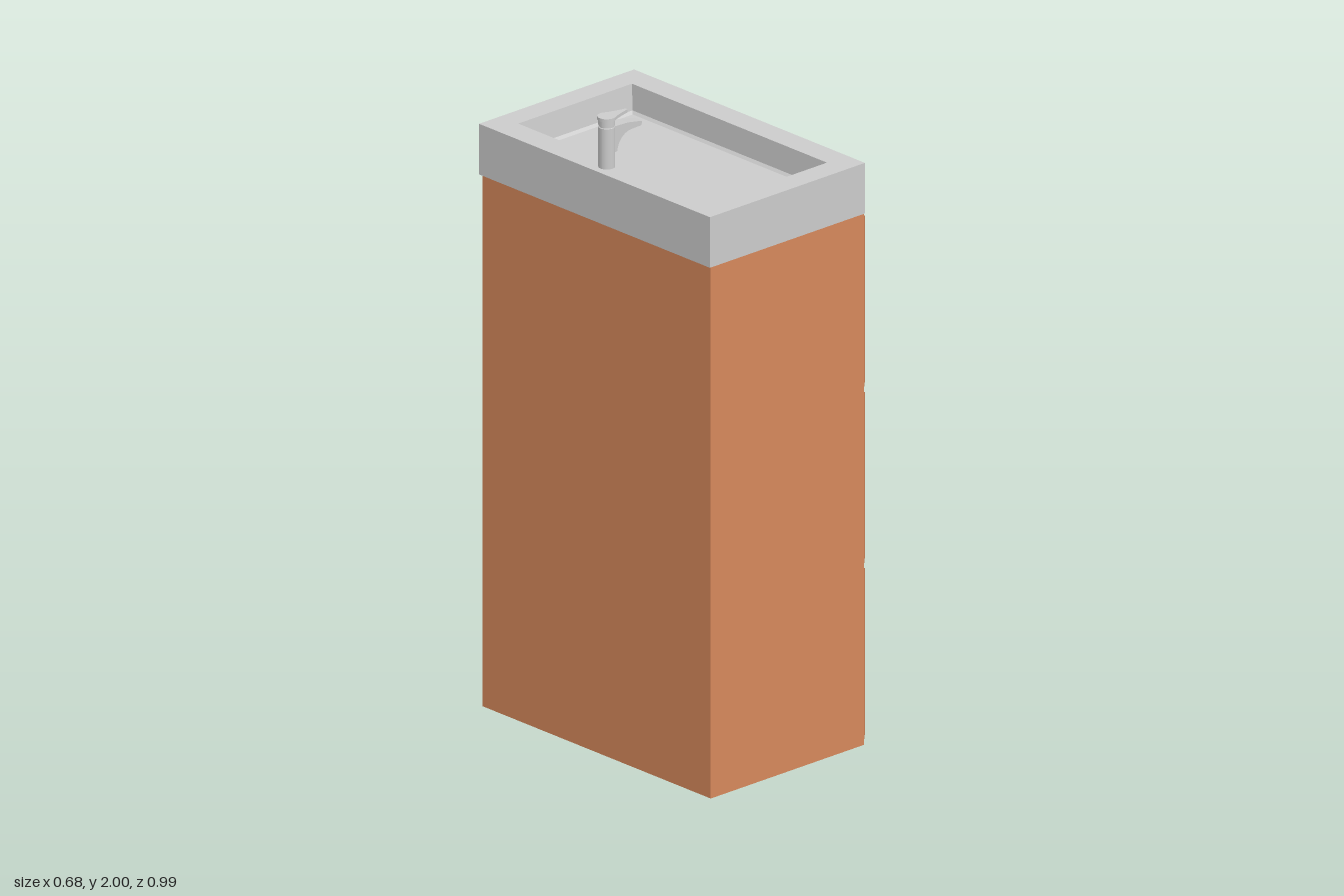
import * as THREE from 'three';

const wood = new THREE.MeshStandardMaterial({ color: 0xd6885c, flatShading: true });
const grey = new THREE.MeshStandardMaterial({ color: 0xcccccc, flatShading: true });
const metal = new THREE.MeshStandardMaterial({ color: 0xcccccc });

function add(parent, name, geometry, material, x = 0, y = 0, z = 0) {
  const mesh = new THREE.Mesh(geometry, material);
  mesh.name = name;
  mesh.position.set(x, y, z);
  parent.add(mesh);
  return mesh;
}

// Closed solid through a stack of rectangles [x0, x1, z0, z1, y]
function rectLoft(rings) {
  const pos = [], idx = [];
  for (const [x0, x1, z0, z1, y] of rings) pos.push(x0, y, z0, x0, y, z1, x1, y, z1, x1, y, z0);
  for (let r = 0; r < rings.length - 1; r++) {
    for (let i = 0; i < 4; i++) {
      const a = r * 4 + i, b = r * 4 + (i + 1) % 4;
      idx.push(a, b, b + 4, a, b + 4, a + 4);
    }
  }
  const t = (rings.length - 1) * 4;
  idx.push(0, 2, 1, 0, 3, 2, t, t + 1, t + 2, t, t + 2, t + 3);
  const g = new THREE.BufferGeometry();
  g.setAttribute('position', new THREE.Float32BufferAttribute(pos, 3));
  g.setIndex(idx);
  const flat = g.toNonIndexed();
  flat.computeVertexNormals();
  return flat;
}

// Drawer front: a slab whose outer face is chamfered on all sides
function drawerFront(height, width) {
  const g = new THREE.BoxGeometry(0.018, height, width);
  const p = g.attributes.position;
  for (let i = 0; i < p.count; i++) {
    if (p.getX(i) > 0) {
      p.setY(i, p.getY(i) - Math.sign(p.getY(i)) * 0.01);
      p.setZ(i, p.getZ(i) - Math.sign(p.getZ(i)) * 0.016);
    }
  }
  g.computeVertexNormals();
  return g;
}

function makeHandle() {
  const handle = new THREE.Group();
  handle.name = 'handle';
  add(handle, 'handleBar', new THREE.CylinderGeometry(0.016, 0.016, 0.393, 20).rotateX(Math.PI / 2), metal, 0.324, 0, -0.001);
  for (const z of [-0.15, 0.128]) {
    add(handle, 'handlePost', new THREE.CylinderGeometry(0.01, 0.01, 0.03, 14).rotateZ(Math.PI / 2), metal, 0.309, 0, z);
  }
  return handle;
}

function makeFaucet() {
  const faucet = new THREE.Group();
  faucet.name = 'faucet';
  const cx = -0.292;
  // Upright body with a seam under the cap
  const profile = [[0, 0], [0.025, 0], [0.025, 0.127], [0.022, 0.128], [0.022, 0.132], [0.025, 0.133], [0.025, 0.152], [0, 0.152]];
  add(faucet, 'faucetBody', new THREE.LatheGeometry(profile.map(p => new THREE.Vector2(...p)), 28), grey, cx, 1.84, 0);

  // Spout: side profile extruded, narrowing toward the tip
  const s = new THREE.Shape();
  s.moveTo(-0.285, 1.888);
  s.lineTo(-0.27, 1.888);
  s.quadraticCurveTo(-0.262, 1.935, -0.215, 1.941);
  s.lineTo(-0.168, 1.941);
  s.lineTo(-0.165, 1.954);
  s.lineTo(-0.225, 1.966);
  s.lineTo(-0.285, 1.97);
  s.closePath();
  const spout = new THREE.ExtrudeGeometry(s, { depth: 2, bevelEnabled: false, curveSegments: 8 }).translate(0, 0, -1);
  const p = spout.attributes.position;
  for (let i = 0; i < p.count; i++) {
    const t = (p.getX(i) + 0.285) / 0.12;
    p.setZ(i, p.getZ(i) * (0.022 - 0.006 * t));
  }
  spout.computeVertexNormals();
  add(faucet, 'faucetSpout', spout, grey);

  // Teardrop lever on top
  const l = new THREE.Shape();
  l.absarc(0, 0, 0.028, 0.9, Math.PI * 2 - 0.9, false);
  l.quadraticCurveTo(0.04, -0.013, 0.08, -0.004);
  l.lineTo(0.08, 0.004);
  l.quadraticCurveTo(0.04, 0.013, 0.028 * Math.cos(0.9), 0.028 * Math.sin(0.9));
  const lever = new THREE.ExtrudeGeometry(l, { depth: 0.01, bevelEnabled: false, curveSegments: 16 }).rotateX(-Math.PI / 2);
  add(faucet, 'faucetLever', lever, grey, cx, 1.99, 0);
  return faucet;
}

// Drain: slotted grate above a dished base
function makeDrain() {
  const drain = new THREE.Group();
  drain.name = 'drain';
  const disc = new THREE.Shape().absarc(0, 0, 0.033, 0, Math.PI * 2, false);
  const slots = 18;
  for (let i = 0; i < slots; i++) {
    const a = i / slots * Math.PI * 2, w = 0.085;
    const at = (r, b) => new THREE.Vector2(r * Math.cos(b), r * Math.sin(b));
    disc.holes.push(new THREE.Path([at(0.011, a - w), at(0.011, a + w), at(0.03, a + w), at(0.03, a - w)]));
  }
  const grate = new THREE.ExtrudeGeometry(disc, { depth: 0.006, bevelEnabled: false, curveSegments: 36 });
  add(drain, 'drainGrate', grate.rotateX(-Math.PI / 2), grey, -0.164, 1.751, 0);
  return drain;
}

export function createModel() {
  const model = new THREE.Group();
  model.name = 'washstand';

  add(model, 'cabinet', new THREE.BoxGeometry(0.614, 1.68, 0.98), wood, -0.027, 0.84, 0.002);

  // Three drawers with bar handles
  for (let i = 0; i < 3; i++) {
    const y = 0.285 + i * 0.557;
    const drawer = new THREE.Group();
    drawer.name = 'drawer';
    drawer.position.y = y;
    add(drawer, 'drawerFront', drawerFront(0.547, 0.98), wood, 0.288, 0, 0.002);
    drawer.add(makeHandle());
    model.add(drawer);
  }

  // Basin: outer block, rim, sloping walls, small cove, floor
  add(model, 'basin', rectLoft([
    [-0.34, 0.28, -0.497, 0.495, 1.68],
    [-0.34, 0.28, -0.497, 0.495, 1.84],
    [-0.255, 0.2, -0.42, 0.418, 1.84],
    [-0.248, 0.194, -0.411, 0.408, 1.76],
    [-0.238, 0.186, -0.402, 0.394, 1.752],
  ]), grey);

  model.add(makeDrain(), makeFaucet());
  return model;
}
